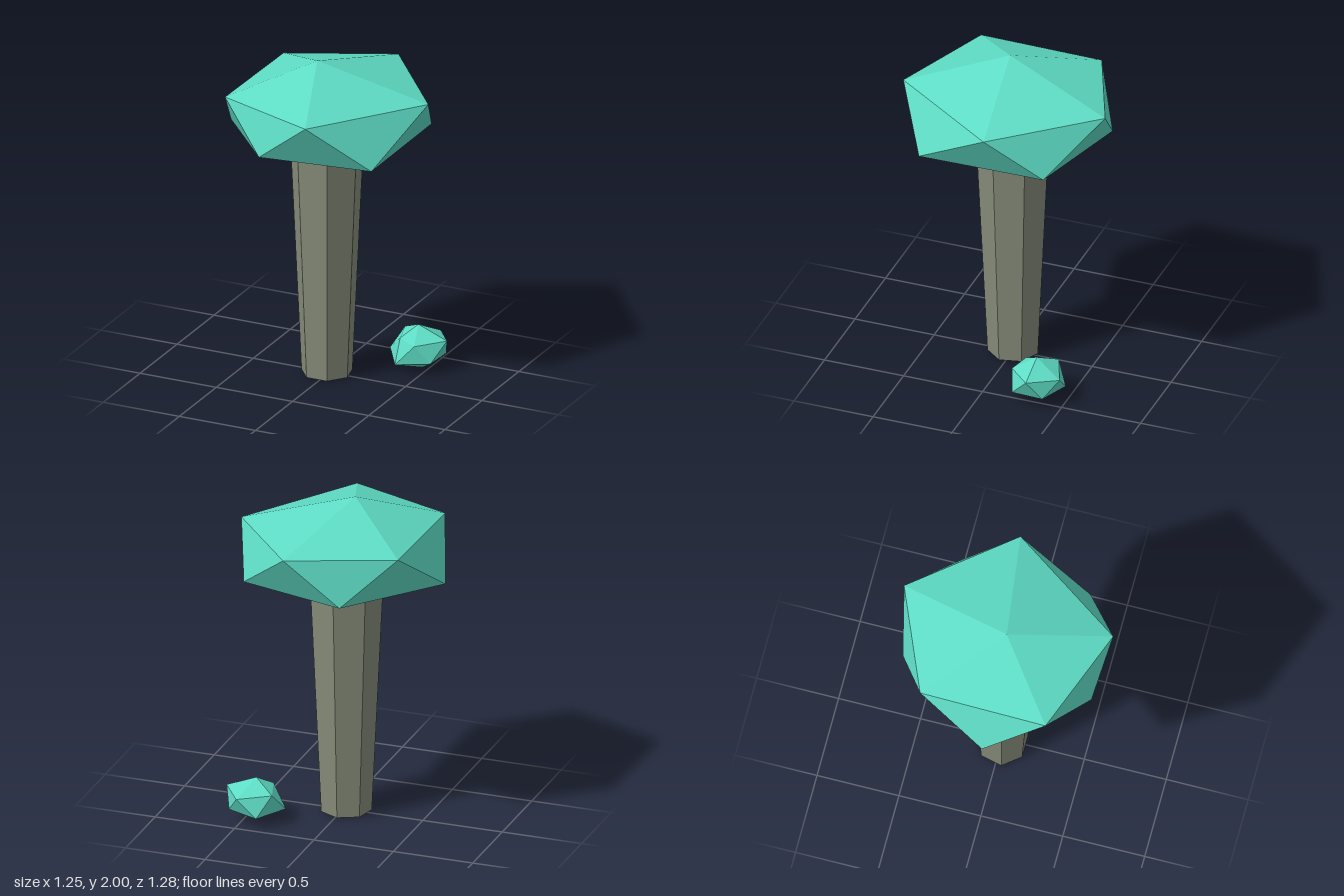
import * as THREE from 'three';
import { ConvexGeometry } from 'three/addons/geometries/ConvexGeometry.js';

// Faceted leaf clump: top point, upper ring, lower ring, bottom point
function leafClump(name, corners, material) {
  const geometry = new ConvexGeometry(corners.map((c) => new THREE.Vector3(...c)));
  const mesh = new THREE.Mesh(geometry, material);
  mesh.name = name;
  return mesh;
}

export function createModel() {
  const leaf = new THREE.MeshStandardMaterial({ color: 0x5edcc5, flatShading: true });
  leaf.name = 'leaf teal';
  const bark = new THREE.MeshStandardMaterial({ color: 0x868b79, flatShading: true });
  bark.name = 'bark grey';

  const group = new THREE.Group();
  group.name = 'tree';

  // Seven-sided trunk, wider at the top, ending inside the crown
  const trunk = new THREE.Mesh(new THREE.CylinderGeometry(0.228, 0.154, 1.59, 7, 1, false, Math.PI), bark);
  trunk.name = 'trunk';
  trunk.position.set(-0.015, 0.805, 0.003);
  group.add(trunk);

  // Broad flattened crown
  group.add(leafClump('crown', [
    [-0.06, 2.0, 0.042],
    [0.143, 1.828, -0.638], [0.623, 1.808, -0.053], [0.15, 1.82, 0.637], [-0.495, 1.82, 0.393], [-0.483, 1.82, -0.375],
    [-0.183, 1.54, -0.56], [0.487, 1.54, -0.378], [0.475, 1.525, 0.413], [-0.177, 1.565, 0.59], [-0.627, 1.525, 0.04],
    [0.05, 1.345, -0.03],
  ], leaf));

  // Small bush beside the trunk
  group.add(leafClump('bush', [
    [0.43, 0.272, -0.317],
    [0.495, 0.185, -0.485], [0.617, 0.198, -0.318], [0.47, 0.188, -0.175], [0.357, 0.208, -0.22], [0.3, 0.205, -0.405],
    [0.373, 0.075, -0.478], [0.57, 0.08, -0.405], [0.56, 0.08, -0.21], [0.36, 0.065, -0.142], [0.245, 0.095, -0.315],
    [0.458, 0.005, -0.31],
  ], leaf));

  return group;
}
